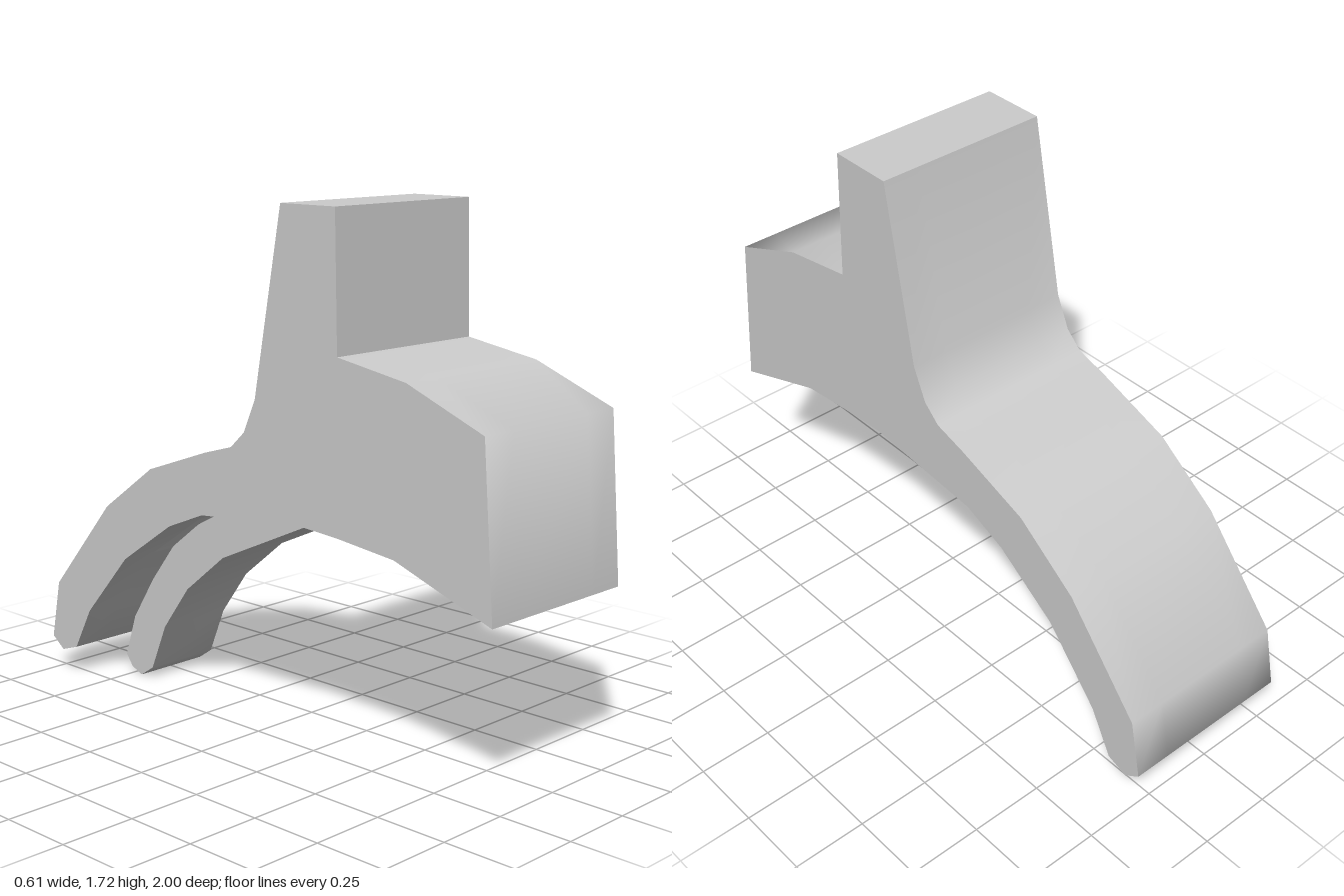
import * as THREE from 'three';
import { mergeGeometries, toCreasedNormals } from 'three/addons/utils/BufferGeometryUtils.js';

const HALF = 0.305, SLOT = 0.175, TONGUE = 0.14;

// Profiles are [z, y], running front to back over the top and back to front underneath.
const outline = [
  [1, 0.575], [0.96, 1.12], [0.67, 1.235], [0.4, 1.28], [0.39, 1.72], [0.165, 1.72],
  [0.05, 1.11], [0, 1], [-0.06, 0.945], [-0.18, 0.91], [-0.45, 0.815], [-0.68, 0.65],
  [-0.96, 0.325], [-1, 0.12], [-0.945, 0.08], [-0.87, 0.105], [-0.79, 0.255], [-0.59, 0.48],
];
const underside = [[-0.59, 0.48], [-0.36, 0.635], [-0.2, 0.7], [0.25, 0.74], [0.4, 0.73], [0.63, 0.705]];
const ceiling = [[-0.59, 0.48], [-0.5, 0.6], [-0.35, 0.69], [-0.15, 0.775], [0.1, 0.82], [0.45, 0.81], [0.63, 0.705]];
const tongueProfile = [
  [0.4, 0.73], [0.4, 0.85], [0.22, 0.85], [0, 0.775], [-0.2, 0.71], [-0.4, 0.605], [-0.53, 0.505],
  [-0.64, 0.365], [-0.74, 0.21], [-0.79, 0.06], [-0.76, 0.02], [-0.71, 0], [-0.65, 0.04],
  [-0.58, 0.205], [-0.46, 0.365], [-0.28, 0.51], [0.12, 0.69], [0.4, 0.73],
];

// Band of quads following a profile between two x positions
function strip(points, x0, x1) {
  const pos = [];
  for (let i = 0; i < points.length - 1; i++) {
    const [az, ay] = points[i], [bz, by] = points[i + 1];
    pos.push(x0, ay, az, x1, ay, az, x1, by, bz, x0, ay, az, x1, by, bz, x0, by, bz);
  }
  const g = new THREE.BufferGeometry();
  g.setAttribute('position', new THREE.Float32BufferAttribute(pos, 3));
  return g;
}

// Flat face of a profile at x, facing +x (dir 1) or -x (dir -1)
function cap(points, x, dir) {
  const shape = new THREE.Shape(points.map(([z, y]) => new THREE.Vector2(-dir * z, y)));
  const g = new THREE.ShapeGeometry(shape).toNonIndexed();
  g.rotateY(dir * Math.PI / 2).translate(x, 0, 0);
  g.deleteAttribute('uv');
  g.deleteAttribute('normal');
  return g;
}

function part(name, pieces, material) {
  const mesh = new THREE.Mesh(toCreasedNormals(mergeGeometries(pieces), 1.2), material);
  mesh.name = name;
  return mesh;
}

export function createModel() {
  const group = new THREE.Group();
  group.name = 'clip';
  const material = new THREE.MeshStandardMaterial({ color: 0xcccccc });

  // Body: post, front block and curved arm, with the underside open over the slot
  const front = [[0.63, 0.705], [1, 0.575]];
  const body = [];
  for (const [x0, x1] of [[-HALF, -SLOT], [-SLOT, SLOT], [SLOT, HALF]]) {
    body.push(strip(outline, x0, x1), strip(front, x0, x1));
    if (x0 !== -SLOT) body.push(strip(underside, x0, x1));
  }
  const side = [...outline, ...underside.slice(1)];
  for (const s of [1, -1]) body.push(cap(side, s * HALF, s));
  group.add(part('body', body, material));

  // Slot: recess in the underside around the tongue
  const wall = [...underside, ...ceiling.slice(1, -1).reverse()];
  group.add(part('slot', [
    strip(ceiling, -SLOT, SLOT), cap(wall, SLOT, -1), cap(wall, -SLOT, 1),
  ], material));

  // Spring tongue, rooted in the slot ceiling
  const loop = tongueProfile.slice(0, -1);
  group.add(part('tongue', [
    strip(tongueProfile, -TONGUE, TONGUE), cap(loop, TONGUE, 1), cap(loop, -TONGUE, -1),
  ], material));

  return group;
}
